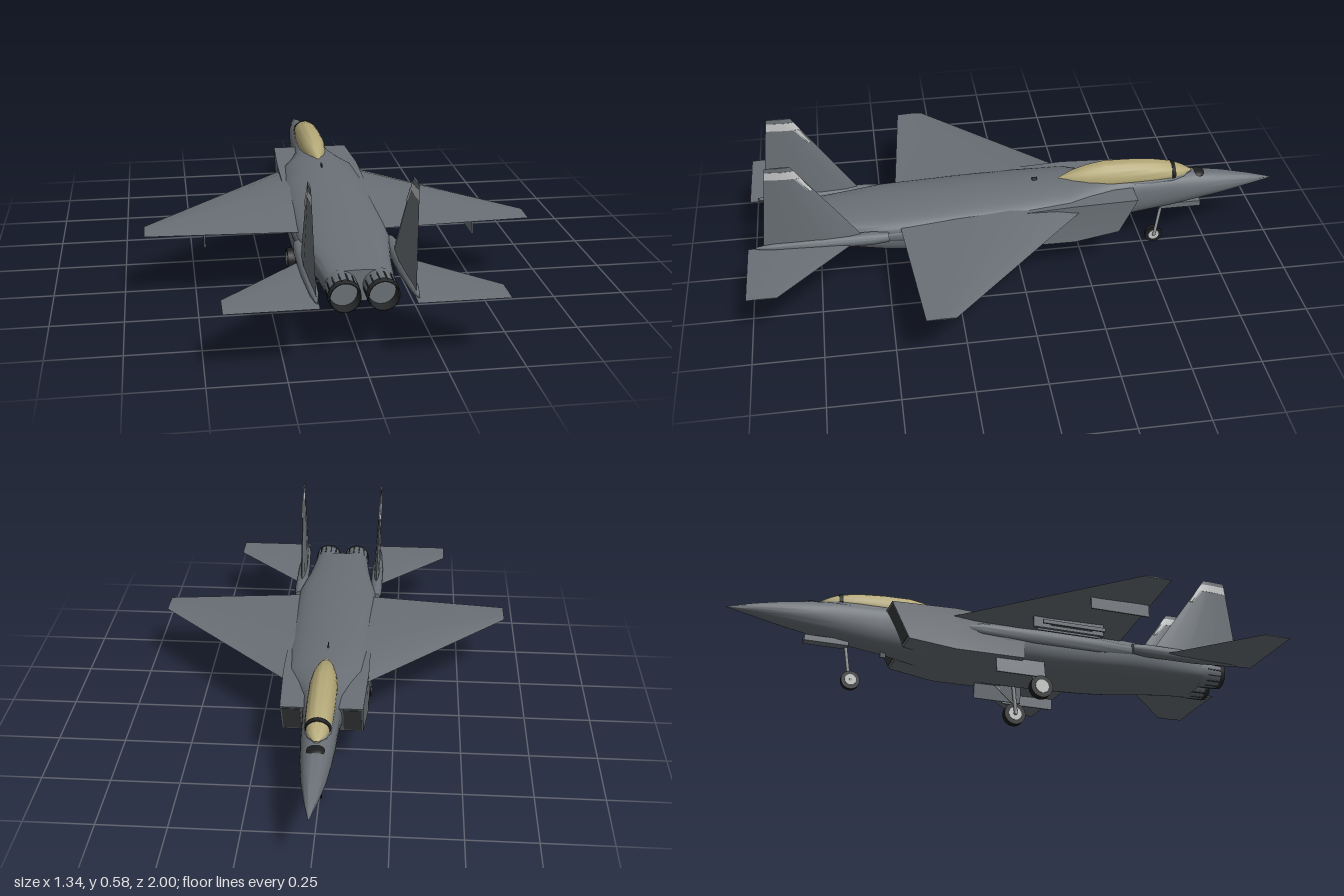
import * as THREE from 'three';
import { toCreasedNormals } from 'three/addons/utils/BufferGeometryUtils.js';

const paint = (name, color) => Object.assign(new THREE.MeshStandardMaterial({ color }), { name });

// Closed skin through equal-length rings of [x, y, z]; winding is fixed by signed volume.
function loft(rings, crease = 0.6) {
  const n = rings[0].length, pos = rings.flat(), idx = [];
  for (let r = 0; r < rings.length - 1; r++)
    for (let i = 0; i < n; i++) {
      const a = r * n + i, b = r * n + (i + 1) % n;
      idx.push(a, b, a + n, b, b + n, a + n);
    }
  [0, rings.length - 1].forEach((r) => {
    const c = pos.length;
    pos.push([0, 1, 2].map((k) => rings[r].reduce((s, p) => s + p[k], 0) / n));
    for (let i = 0; i < n; i++) {
      const a = r * n + i, b = r * n + (i + 1) % n;
      r === 0 ? idx.push(b, a, c) : idx.push(a, b, c);
    }
  });
  let vol = 0;
  const v = (i) => new THREE.Vector3(...pos[i]).sub(new THREE.Vector3(...pos[0]));
  for (let i = 0; i < idx.length; i += 3) vol += v(idx[i]).dot(v(idx[i + 1]).cross(v(idx[i + 2])));
  if (vol < 0) idx.reverse();
  const g = new THREE.BufferGeometry();
  g.setAttribute('position', new THREE.Float32BufferAttribute(pos.flat(), 3));
  g.setIndex(idx);
  return toCreasedNormals(g, crease);
}

// Superellipse cross-section with separate top and bottom squareness.
function hoop(z, w, top, bottom, mid, nTop = 2, nBottom = 2, sides = 40) {
  return Array.from({ length: sides }, (_, i) => {
    const a = (i / sides) * Math.PI * 2, c = Math.cos(a), s = Math.sin(a);
    const e = 2 / (s > 0 ? nTop : nBottom);
    const h = Math.sign(s) * Math.abs(s) ** e * (s > 0 ? top - mid : mid - bottom);
    return [Math.sign(c) * Math.abs(c) ** e * w, mid + h, z];
  });
}

// Aerofoil outline as [chord fraction, thickness fraction].
const FOIL = [[0, 0], [0.12, 0.7], [0.4, 1], [0.7, 0.6], [1, 0], [0.7, -0.6], [0.4, -1], [0.12, -0.7]];
const mix = THREE.MathUtils.lerp;

export function createModel() {
  const model = new THREE.Group();
  model.name = 'jetAircraft';
  const grey = paint('airframeGrey', 0x6a7076);
  const tan = paint('tintedCanopy', 0xb3a878);
  const black = paint('rubberBlack', 0x1c1d1f);
  const dark = paint('ductDark', 0x3b3e41);
  const pale = paint('paleGrey', 0xc4c6c6);
  const metal = paint('strutMetal', 0x9a9c9e);
  const lining = paint('nozzleLining', 0x26282a);
  lining.side = THREE.DoubleSide;

  const add = (name, geo, mat, x = 0, y = 0, z = 0) => {
    const m = new THREE.Mesh(geo, mat);
    m.name = name;
    m.position.set(x, y, z);
    model.add(m);
    return m;
  };
  const box = (name, mat, w, h, d, x, y, z) => add(name, new THREE.BoxGeometry(w, h, d), mat, x, y, z);
  const rod = (name, a, b, r, mat) => {
    const p = new THREE.Vector3(...a), q = new THREE.Vector3(...b), d = q.clone().sub(p);
    const m = add(name, new THREE.CylinderGeometry(r, r, d.length(), 12), mat);
    m.position.copy(p).add(q).multiplyScalar(0.5);
    m.quaternion.setFromUnitVectors(new THREE.Vector3(0, 1, 0), d.normalize());
  };
  const wheel = (name, x, y, z, r, w) => {
    add(name + 'Tyre', new THREE.CylinderGeometry(r, r, w, 28).rotateZ(Math.PI / 2), black, x, y, z);
    add(name + 'Hub', new THREE.CylinderGeometry(r * 0.6, r * 0.6, w + 0.004, 20).rotateZ(Math.PI / 2), pale, x, y, z);
  };

  // Fuselage: z, half width, top, bottom, widest height, top and bottom squareness
  add('fuselage', loft([
    [-1, 0.001, 0.256, 0.254, 0.255], [-0.96, 0.011, 0.267, 0.245, 0.256], [-0.9, 0.024, 0.282, 0.234, 0.257],
    [-0.8, 0.042, 0.303, 0.213, 0.257], [-0.7, 0.053, 0.318, 0.195, 0.257], [-0.6, 0.06, 0.325, 0.178, 0.257, 2.4, 2.2],
    [-0.45, 0.066, 0.329, 0.162, 0.257, 2.6, 2.6], [-0.36, 0.076, 0.331, 0.15, 0.26, 2.3, 3],
    [-0.27, 0.112, 0.333, 0.143, 0.263, 2, 3.4], [-0.19, 0.15, 0.335, 0.138, 0.265, 2, 4],
    [0, 0.157, 0.331, 0.133, 0.265, 2, 4], [0.2, 0.157, 0.323, 0.135, 0.265, 2, 4], [0.4, 0.157, 0.312, 0.145, 0.26, 2, 4],
    [0.5, 0.155, 0.306, 0.152, 0.255, 2.2, 3.6], [0.6, 0.138, 0.299, 0.16, 0.25, 2.4, 3.2],
    [0.7, 0.124, 0.292, 0.168, 0.24, 2.6, 3], [0.82, 0.112, 0.283, 0.177, 0.23, 3, 3],
  ].map((p) => hoop(...p)), 0.8), grey);

  // Cockpit
  const glass = [[-0.675, 0.006, 0.324], [-0.64, 0.03, 0.343], [-0.6, 0.042, 0.361], [-0.53, 0.048, 0.375],
    [-0.44, 0.05, 0.384], [-0.34, 0.05, 0.387], [-0.27, 0.043, 0.376], [-0.21, 0.029, 0.358], [-0.16, 0.005, 0.335]];
  add('canopy', loft(glass.map(([z, w, top]) => hoop(z, w, top, 0.29, 0.322)), 1), tan);
  add('canopySill', loft(glass.map(([z, w]) => hoop(z, w + 0.003, 0.325, 0.26, 0.3, 4, 3)), 0.8), grey);
  add('windscreenFrame', loft([hoop(-0.607, 0.042, 0.361, 0.3, 0.322), hoop(-0.593, 0.046, 0.366, 0.3, 0.322)]), black);
  add('antiGlarePatch', new THREE.SphereGeometry(1, 24, 16).scale(0.032, 0.017, 0.032), black, 0, 0.304, -0.7);
  box('spineAerial', dark, 0.004, 0.03, 0.02, 0, 0.33, -0.07);
  box('bellyAerial', dark, 0.004, 0.03, 0.02, 0, 0.155, -0.43);

  for (const s of [1, -1]) {
    // Raked air intake with a dark mouth
    const side = [[-0.437, 0.3], [-0.2, 0.303], [0.06, 0.29], [0.06, 0.145], [-0.2, 0.143], [-0.37, 0.165]];
    add('airIntake', loft([
      side.map(([z, y]) => [s * 0.06, y, z]),
      side.map(([z, y]) => [s * (z < -0.3 ? 0.145 : 0.156), y, z]),
    ], 0.4), grey);
    const mouth = (dz) => [[0.075, 0.292, -0.433], [0.139, 0.292, -0.433], [0.139, 0.173, -0.374], [0.075, 0.173, -0.374]]
      .map(([x, y, z]) => [s * x, y, z + dz]);
    add('intakeMouth', loft([mouth(-0.002), mouth(0.002)]), dark);

    // Main wing: x, leading z, trailing z, base height, upper and lower thickness
    add('wing', loft([[0.1, -0.265, 0.45, 0.273, 0.028, 0.012], [0.155, -0.21, 0.445, 0.272, 0.024, 0.011],
      [0.672, 0.3, 0.4, 0.265, 0.003, 0.002]].map(([x, le, te, y, up, lo]) =>
      FOIL.map(([c, h]) => [s * x, y + h * (h > 0 ? up : lo), mix(le, te, c)]))), grey);

    // Horizontal tail
    add('tailplane', loft([[0.15, 0.615, 0.995, 0.006], [0.18, 0.63, 0.995, 0.006], [0.443, 0.89, 0.995, 0.002]]
      .map(([x, le, te, t]) => FOIL.map(([c, h]) => [s * x, 0.238 + h * t, mix(le, te, c)]))), grey);

    // Tail boom beside the engine
    add('tailBoom', loft([[0.49, 0.018], [0.55, 0.024], [0.75, 0.023], [0.9, 0.014], [0.965, 0.004]]
      .map(([z, r]) => hoop(z, r, 0.245 + r, 0.245 - r, 0.245, 2, 2, 20).map(([x, y, w]) => [s * (x + 0.157), y, w]))), grey);
    // Conformal side tank
    add('sideTank', loft([[-0.18, 0.004], [-0.1, 0.016], [0.1, 0.022], [0.35, 0.021], [0.5, 0.014], [0.58, 0.003]]
      .map(([z, r]) => hoop(z, r, 0.24 + r * 1.4, 0.24 - r * 1.6, 0.24, 2, 2, 20).map(([x, y, w]) => [s * (x + 0.145), y, w]))), grey);

    // Vertical fin; t runs from root to tip
    const fin = (t, grow = 0, c0 = 0, c1 = 1) => FOIL.map(([c, h]) => [
      s * (mix(0.155, 0.165, t) + h * (mix(0.013, 0.003, t) + grow)),
      mix(0.245, 0.582, t), mix(mix(0.572, 0.812, t), mix(0.94, 0.9, t), mix(c0, c1, c))]);
    add('fin', loft([fin(0), fin(1)]), grey);
    add('finBand', loft([fin(0.86, 0.0012), fin(0.95, 0.0012)]), pale);
    add('finBandTail', loft([fin(0.7, 0.001, 0.02, 0.16), fin(0.86, 0.001, 0.02, 0.3)]), pale);

    // Engine nozzle with petal gaps and recessed face
    const x = s * 0.061, y = 0.229;
    add('nozzle', new THREE.CylinderGeometry(0.05, 0.053, 0.1, 32, 1, true).rotateX(Math.PI / 2), grey, x, y, 0.857);
    add('nozzleLip', new THREE.LatheGeometry([[0.044, -0.06], [0.046, 0], [0.051, 0], [0.053, -0.02]]
      .map((p) => new THREE.Vector2(...p)), 32).rotateX(Math.PI / 2), lining, x, y, 0.907);
    add('nozzleFace', new THREE.CircleGeometry(0.046, 32), grey, x, y, 0.865);
    for (let i = 0; i < 14; i++) {
      const a = (i / 14) * Math.PI * 2;
      box('petalGap', lining, 0.005, 0.005, 0.06, x + Math.cos(a) * 0.0505, y + Math.sin(a) * 0.0505, 0.865).rotation.z = a;
    }

    // Underwing pylons and rails
    box('outerPylon', grey, 0.006, 0.045, 0.22, s * 0.468, 0.243, 0.3);
    box('innerPylon', grey, 0.012, 0.045, 0.27, s * 0.262, 0.245, 0.19);
    box('railBeam', grey, 0.066, 0.006, 0.16, s * 0.262, 0.237, 0.2);
    for (const d of [-0.03, 0.03]) box('launchRail', grey, 0.007, 0.014, 0.24, s * (0.262 + d), 0.234, 0.2);

    // Main landing gear
    wheel('main', s * 0.143, 0.043, 0.125, 0.042, 0.028);
    rod('mainStrut', [s * 0.122, 0.045, 0.125], [s * 0.108, 0.15, 0.11], 0.007, metal);
    rod('mainBrace', [s * 0.12, 0.075, 0.12], [s * 0.125, 0.15, 0.04], 0.004, metal);
    rod('mainAxle', [s * 0.115, 0.043, 0.125], [s * 0.143, 0.043, 0.125], 0.007, metal);
    box('mainGearDoor', grey, 0.005, 0.068, 0.187, s * 0.13, 0.121, 0.053).rotation.z = s * 0.15;
  }

  // Nose landing gear
  wheel('nose', 0, 0.035, -0.545, 0.034, 0.018);
  rod('noseStrut', [0.014, 0.035, -0.545], [0.006, 0.18, -0.568], 0.006, metal);
  rod('noseAxle', [-0.012, 0.035, -0.545], [0.016, 0.035, -0.545], 0.005, metal);
  box('noseGearDoor', grey, 0.035, 0.022, 0.16, 0, 0.172, -0.64);
  return model;
}
